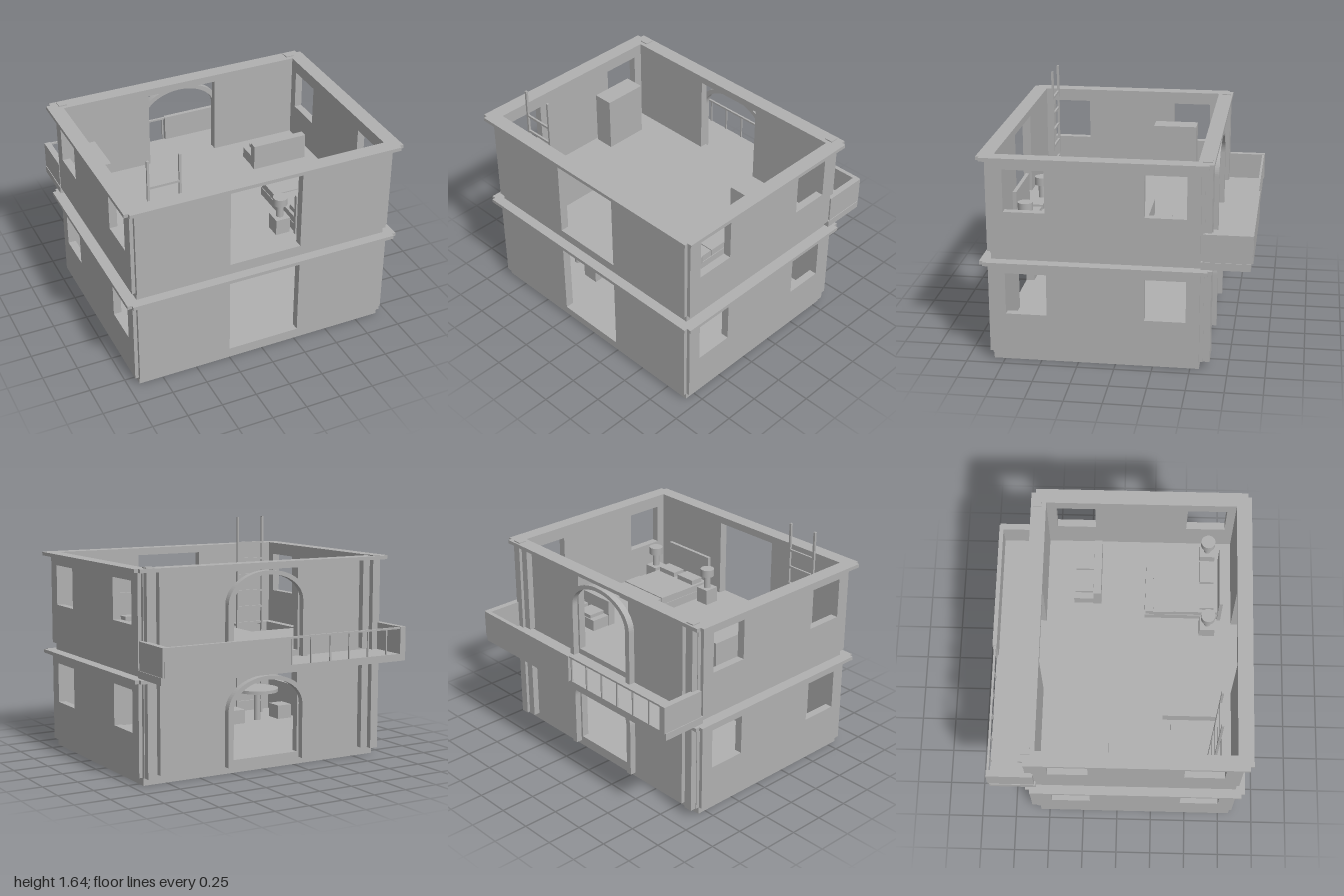
import * as THREE from 'three';

export function createModel() {
  const model = new THREE.Group();
  model.name = 'twoStoreyHouse';
  const plaster = new THREE.MeshStandardMaterial({ color: 0xb0b0b0 });
  plaster.name = 'grey plaster';

  const add = (name, geometry, parent) => {
    const mesh = new THREE.Mesh(geometry, plaster);
    mesh.name = name;
    parent.add(mesh);
    return mesh;
  };
  // Box given by its limits on each axis
  const box = (name, [x0, x1], [y0, y1], [z0, z1], parent) => {
    const mesh = add(name, new THREE.BoxGeometry(x1 - x0, y1 - y0, z1 - z0), parent);
    mesh.position.set((x0 + x1) / 2, (y0 + y1) / 2, (z0 + z1) / 2);
    return mesh;
  };
  const cylinder = (name, radius, [y0, y1], x, z, parent, sides = 32) => {
    const mesh = add(name, new THREE.CylinderGeometry(radius, radius, y1 - y0, sides), parent);
    mesh.position.set(x, (y0 + y1) / 2, z);
    return mesh;
  };
  const rect = (Type, x0, x1, y0, y1) => new Type([
    new THREE.Vector2(x0, y0), new THREE.Vector2(x1, y0),
    new THREE.Vector2(x1, y1), new THREE.Vector2(x0, y1),
  ]);
  const extrude = (shape, depth) =>
    new THREE.ExtrudeGeometry(shape, { depth, bevelEnabled: false, curveSegments: 24 });
  const group = (name, parent = model) => {
    const g = new THREE.Group();
    g.name = name;
    parent.add(g);
    return g;
  };

  // Flat slab or ring in plan; shape y is -z
  const plan = (name, shape, [y0, y1], parent) => {
    const mesh = add(name, extrude(shape, y1 - y0), parent);
    mesh.rotation.x = -Math.PI / 2;
    mesh.position.y = y0;
    return mesh;
  };

  // Cornice ring with notched corners
  const corniceShape = () => {
    const x = 1, xi = 0.97, f = -0.895, fi = -0.87, b = 0.64, bi = 0.61;
    const shape = new THREE.Shape([
      [-xi, f], [xi, f], [xi, fi], [x, fi], [x, bi], [xi, bi],
      [xi, b], [-xi, b], [-xi, bi], [-x, bi], [-x, fi], [-xi, fi],
    ].map(([px, py]) => new THREE.Vector2(px, py)));
    shape.holes.push(rect(THREE.Path, -0.895, 0.895, -0.79, 0.535));
    return shape;
  };

  // Door surround: two legs joined by an elliptical arch
  const archShape = () => {
    const spring = 0.44, foot = 0.055;
    const shape = new THREE.Shape();
    shape.moveTo(0.315, foot);
    shape.lineTo(0.315, spring);
    shape.absellipse(0, spring, 0.315, 0.22, 0, Math.PI, false);
    shape.lineTo(-0.315, foot);
    shape.lineTo(-0.275, foot);
    shape.lineTo(-0.275, spring);
    shape.absellipse(0, spring, 0.275, 0.192, Math.PI, 0, true);
    shape.lineTo(0.275, foot);
    return shape;
  };

  // Walls, cornice and trim, the same on both storeys
  const storey = (name, y) => {
    const g = group(name);
    g.position.y = y;
    for (const [wall, z, depth] of [['frontWall', 0.79, 0.06], ['backWall', -0.585, 0.05]]) {
      const shape = rect(THREE.Shape, -0.925, 0.925, 0.055, 0.69);
      shape.holes.push(rect(THREE.Path, -0.26, 0.26, 0.095, 0.663));
      add(wall, extrude(shape, depth), g).position.z = z;
    }
    for (const side of [-1, 1]) {
      const shape = rect(THREE.Shape, -0.825, 0.56, 0.055, 0.69);
      shape.holes.push(rect(THREE.Path, -0.73, -0.455, 0.34, 0.627));
      shape.holes.push(rect(THREE.Path, 0.195, 0.47, 0.34, 0.627));
      const wall = add('sideWall', extrude(shape, 0.055), g);
      wall.rotation.y = Math.PI / 2;
      wall.position.x = side > 0 ? 0.895 : -0.95;
      const span = (a, b) => (side > 0 ? [a, b] : [-b, -a]);
      box('cornerColumn', span(0.86, 0.92), [0.055, 0.69], [-0.63, -0.56], g);
      box('pilaster', span(0.775, 0.83), [0.07, 0.69], [-0.63, -0.58], g);
      if (y > 0) box('columnCap', span(0.86, 0.92), [0.71, 0.722], [-0.625, -0.565], g);
    }
    plan('cornice', corniceShape(), [0.69, 0.715], g);
    add('archSurround', extrude(archShape(), 0.045), g).position.z = -0.63;
    return g;
  };
  const pitch = 0.715;
  storey('lowerStorey', 0);
  storey('upperStorey', pitch);

  // Floors; the upper one has a ladder hatch
  box('groundSlab', [-0.92, 0.92], [0, 0.055], [-0.56, 0.825], model);
  box('groundFloor', [-0.895, 0.895], [0.055, 0.095], [-0.535, 0.79], model);
  const hatch = () => rect(THREE.Path, -0.835, -0.44, -0.725, -0.31);
  const slab = rect(THREE.Shape, -0.92, 0.92, -0.825, 0.56);
  slab.holes.push(hatch());
  plan('upperSlab', slab, [0.715, 0.77], model);
  const floor = rect(THREE.Shape, -0.895, 0.895, -0.79, 0.535);
  floor.holes.push(hatch());
  plan('upperFloor', floor, [0.77, 0.81], model);

  // Balcony: half solid parapet, half railing
  const balcony = group('balcony');
  box('balconySlab', [-0.955, 0.955], [0.72, 0.77], [-0.885, -0.562], balcony);
  box('parapet', [0, 0.94], [0.77, 0.96], [-0.9, -0.87], balcony);
  box('parapetSide', [0.905, 0.95], [0.77, 0.96], [-0.895, -0.575], balcony);
  box('parapetSide', [-0.95, -0.905], [0.77, 0.96], [-0.895, -0.575], balcony);
  box('handrail', [-0.94, 0], [0.945, 0.958], [-0.89, -0.875], balcony);
  for (let i = 0; i < 6; i++) {
    const x = -0.017 - i * 0.155;
    box('baluster', [x - 0.005, x + 0.005], [0.77, 0.95], [-0.888, -0.878], balcony);
  }

  // Ladder through the hatch
  const ladder = group('ladder');
  for (const x of [-0.757, -0.537]) {
    box('ladderRail', [x - 0.008, x + 0.008], [0.095, 1.645], [0.667, 0.683], ladder);
    box('ladderBracket', [x - 0.006, x + 0.006], [0.8, 0.815], [0.675, 0.76], ladder);
  }
  for (let y = 0.195; y < 1.46; y += 0.125) {
    box('rung', [-0.757, -0.537], [y - 0.008, y + 0.008], [0.668, 0.682], ladder);
  }

  // Round table and stools on the ground floor
  const dining = group('diningSet');
  cylinder('tableTop', 0.16, [0.32, 0.345], -0.58, 0.45, dining, 48);
  cylinder('tableLeg', 0.025, [0.095, 0.32], -0.58, 0.45, dining);
  for (const x of [-0.79, -0.37]) {
    box('stool', [x - 0.06, x + 0.06], [0.095, 0.2], [0.385, 0.52], dining);
  }

  // Bed with headboard, blanket and pillows
  const bed = group('bed');
  box('bedBase', [0.3, 0.71], [0.81, 0.87], [0.17, 0.69], bed);
  box('mattress', [0.305, 0.705], [0.87, 0.92], [0.175, 0.69], bed);
  box('blanket', [0.298, 0.712], [0.88, 0.927], [0.23, 0.375], bed);
  box('headboard', [0.29, 0.715], [0.81, 1.115], [0.69, 0.715], bed);
  for (const x of [0.405, 0.605]) {
    box('pillow', [x - 0.08, x + 0.08], [0.92, 0.955], [0.56, 0.66], bed);
  }

  // Nightstands with lamps
  for (const x of [0.22, 0.787]) {
    const stand = group('nightstand');
    box('cabinet', [x - 0.052, x + 0.052], [0.81, 0.925], [0.56, 0.67], stand);
    cylinder('lampStem', 0.025, [0.925, 1.02], x, 0.615, stand);
    cylinder('lampShade', 0.05, [1.02, 1.075], x, 0.615, stand);
  }

  // Sofa facing the balcony
  const sofa = group('sofa');
  box('sofaSeat', [0.405, 0.81], [0.81, 0.89], [-0.34, -0.2], sofa);
  box('sofaBack', [0.4, 0.815], [0.81, 1.0], [-0.2, -0.145], sofa);
  for (const x of [0.52, 0.695]) {
    box('cushion', [x - 0.068, x + 0.068], [0.89, 0.915], [-0.33, -0.205], sofa);
  }

  box('wardrobe', [-0.88, -0.735], [0.81, 1.205], [-0.38, -0.06], model);
  return model;
}
